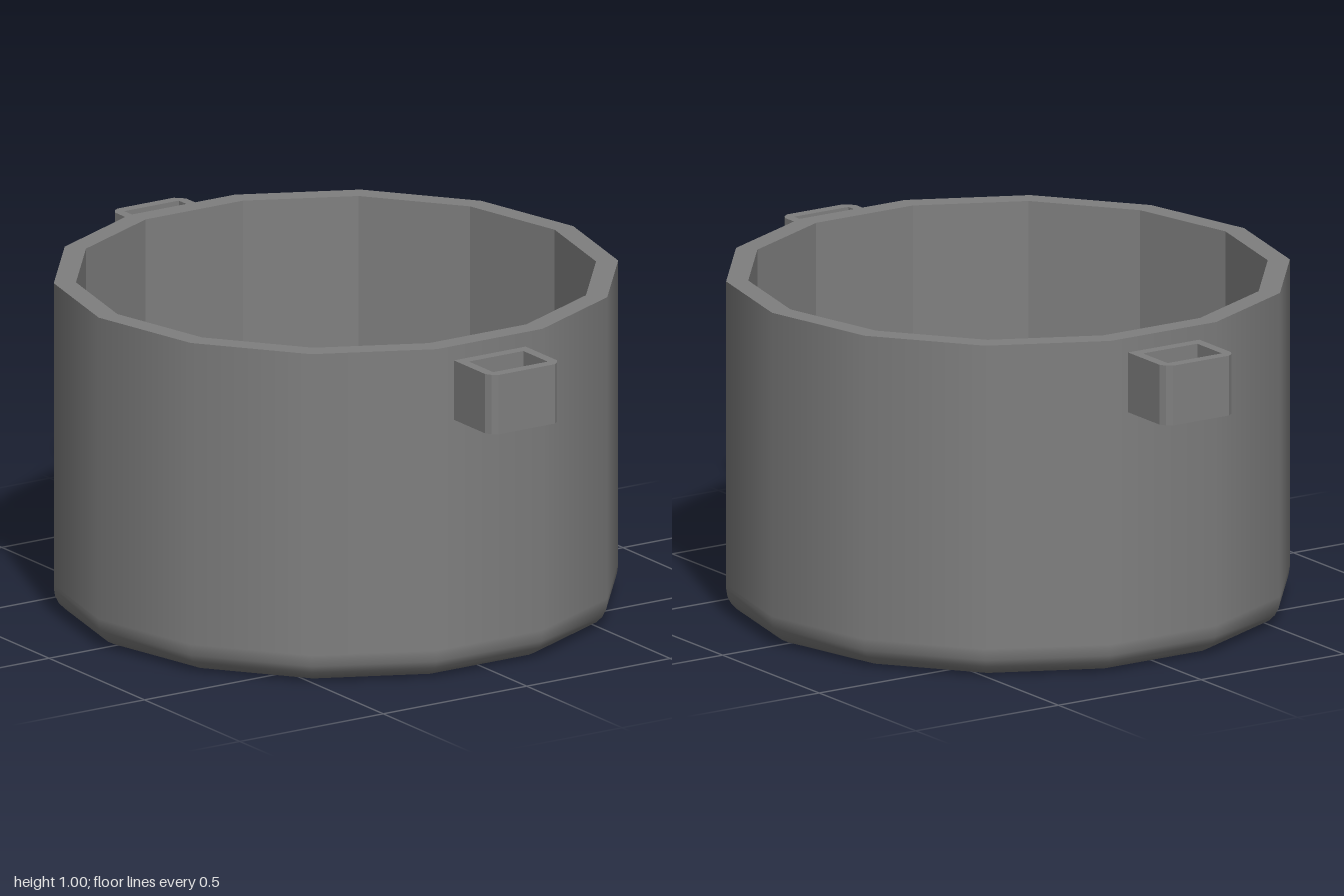
import * as THREE from 'three';

const SIDES = 14;
const R = 0.827, INNER = 0.762, HEIGHT = 1.004, FLOOR = 0.12, ROUND = 0.08;

const material = new THREE.MeshStandardMaterial({ color: 0x7f7f7f });
const flatMaterial = new THREE.MeshStandardMaterial({ color: 0x7f7f7f, flatShading: true });

// Polygonal lathe with a corner on the x axis
function lathe(name, points, mat) {
  const profile = points.map(([r, y]) => new THREE.Vector2(r, y));
  const mesh = new THREE.Mesh(new THREE.LatheGeometry(profile, SIDES, Math.PI / 2), mat);
  mesh.name = name;
  return mesh;
}

// Square loop with softened outer corners, standing off the wall along +z
function handleGeometry() {
  const w = 0.125, near = 0.8, far = 1;
  const shape = new THREE.Shape([
    [-w, near], [w, near], [w, far - 0.03], [0.114, far - 0.012], [0.098, far],
    [-0.098, far], [-0.114, far - 0.012], [-w, far - 0.03],
  ].map(([x, z]) => new THREE.Vector2(x, z)));
  shape.holes.push(new THREE.Path([
    [-0.095, 0.84], [-0.095, 0.967], [0.095, 0.967], [0.095, 0.84],
  ].map(([x, z]) => new THREE.Vector2(x, z))));
  const geometry = new THREE.ExtrudeGeometry(shape, { depth: 0.18, bevelEnabled: false });
  return geometry.rotateX(Math.PI / 2).translate(0, 0.96, 0);
}

export function createModel() {
  const pot = new THREE.Group();
  pot.name = 'pot';

  // Outer wall with rounded foot
  const outer = [[0, 0], [R - ROUND - 0.01, 0]];
  for (let i = 0; i <= 5; i++) {
    const a = (i / 5) * Math.PI / 2;
    outer.push([R - ROUND + ROUND * Math.sin(a), ROUND - ROUND * Math.cos(a)]);
  }
  outer.push([R, ROUND + 0.01], [R, HEIGHT]);
  pot.add(lathe('outerWall', outer, material));

  // Rim, faceted inner wall and floor
  pot.add(lathe('rim', [[R, HEIGHT], [INNER, HEIGHT]], flatMaterial));
  pot.add(lathe('innerWall', [[INNER, HEIGHT], [INNER, FLOOR]], flatMaterial));
  pot.add(lathe('floor', [[INNER, FLOOR], [0, FLOOR]], flatMaterial));

  // Front and back handles
  const geometry = handleGeometry();
  ['frontHandle', 'backHandle'].forEach((name, i) => {
    const handle = new THREE.Mesh(geometry, flatMaterial);
    handle.name = name;
    handle.rotation.y = i * Math.PI;
    pot.add(handle);
  });

  return pot;
}
